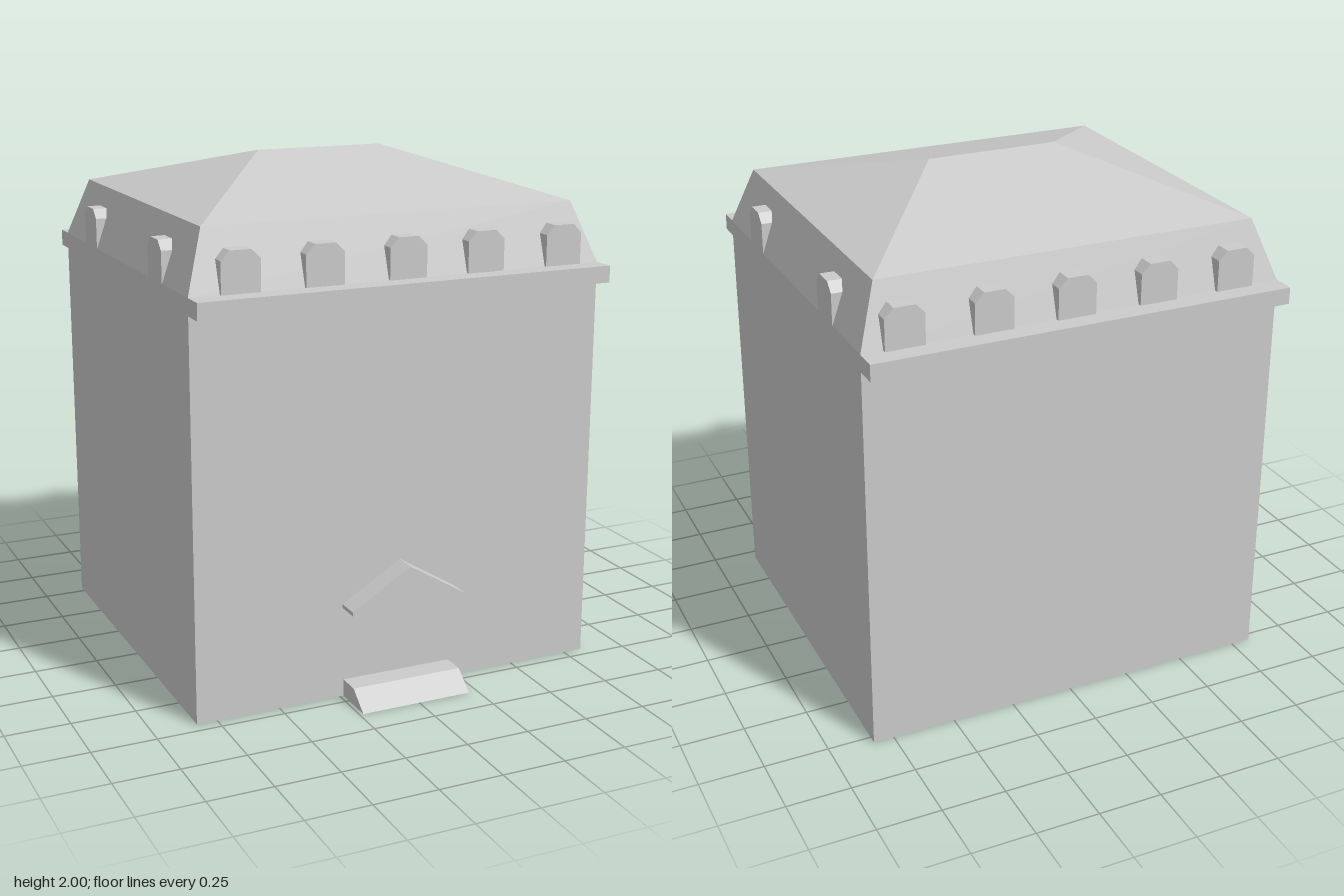
import * as THREE from 'three';

const grey = new THREE.MeshStandardMaterial({ color: 0xcccccc, flatShading: true, side: THREE.DoubleSide });
const FRONT = 0.70, BACK = -0.785, HALF = 0.83; // wall planes
const SLOPE = 0.08 / 0.23; // inward lean of the lower roof

// Four-sided open shell through stacked rectangles [y, halfWidth, zFront, zBack]
function shell(rings) {
  const corners = rings.map(([y, w, f, b]) => [[-w, y, f], [w, y, f], [w, y, b], [-w, y, b]]);
  const pos = [];
  for (let r = 0; r < corners.length - 1; r++) {
    for (let i = 0; i < 4; i++) {
      const j = (i + 1) % 4;
      const a = corners[r][i], b = corners[r][j], c = corners[r + 1][j], d = corners[r + 1][i];
      pos.push(...a, ...b, ...c);
      if (c.some((v, k) => v !== d[k])) pos.push(...a, ...c, ...d);
    }
  }
  const g = new THREE.BufferGeometry();
  g.setAttribute('position', new THREE.Float32BufferAttribute(pos, 3));
  g.computeVertexNormals();
  return g;
}

function extrude(points, depth) {
  const shape = new THREE.Shape(points.map(([x, y]) => new THREE.Vector2(x, y)));
  return new THREE.ExtrudeGeometry(shape, { depth, bevelEnabled: false });
}

// Dormer with a chamfered head; its back leans to lie on the roof slope
function dormerGeometry(out) {
  const g = extrude([[-0.075, 0], [0.075, 0], [0.075, 0.12], [0.04, 0.155], [-0.04, 0.155], [-0.075, 0.12]], 1);
  const p = g.attributes.position;
  for (let i = 0; i < p.count; i++) p.setZ(i, p.getZ(i) > 0.5 ? out : -p.getY(i) * SLOPE);
  g.computeVertexNormals();
  return g;
}

export function createModel() {
  const model = new THREE.Group();
  const add = (name, geometry, x = 0, y = 0, z = 0, turn = 0) => {
    const mesh = new THREE.Mesh(geometry, grey);
    mesh.name = name;
    mesh.position.set(x, y, z);
    mesh.rotation.y = turn;
    model.add(mesh);
  };

  // Walls, open underneath
  add('walls', shell([[0, HALF, FRONT, BACK], [1.6, HALF, FRONT, BACK]]));

  // Mansard roof: steep skirt, then a shallow hip up to the ridge
  add('roof', shell([[1.6, HALF, FRONT, BACK], [1.83, 0.75, 0.62, -0.71], [2, 0.262, -0.045, -0.045]]));

  // Cornices along front and back
  const cornice = new THREE.BoxGeometry(HALF * 2, 0.065, 0.09);
  add('frontCornice', cornice, 0, 1.5675, FRONT + 0.045);
  add('backCornice', cornice, 0, 1.5675, BACK - 0.045);

  // Dormers: five on front and back, two on each side
  const frontDormer = dormerGeometry(0.01), backDormer = dormerGeometry(0.015), sideDormer = dormerGeometry(0.001);
  for (const x of [-0.637, -0.315, 0.016, 0.338, 0.672]) {
    add('frontDormer', frontDormer, x, 1.6, FRONT);
    add('backDormer', backDormer, x, 1.6, BACK, Math.PI);
  }
  for (const z of [0.355, -0.435]) {
    add('leftDormer', sideDormer, HALF, 1.6, z, Math.PI / 2);
    add('rightDormer', sideDormer, -HALF, 1.6, z, -Math.PI / 2);
  }

  // Thin gabled canopy over the entrance
  add('entranceCanopy', extrude([[-0.24, 0.36], [0, 0.504], [0.235, 0.36], [0.235, 0.375], [0, 0.519], [-0.24, 0.375]], 0.09), 0, 0, FRONT);

  // Entrance step with a sloping front
  const step = extrude([[0, 0], [0.175, 0], [0.09, 0.067], [0, 0.067]], 0.45);
  step.rotateY(-Math.PI / 2);
  add('entranceStep', step, 0.215, 0, FRONT);

  return model;
}
